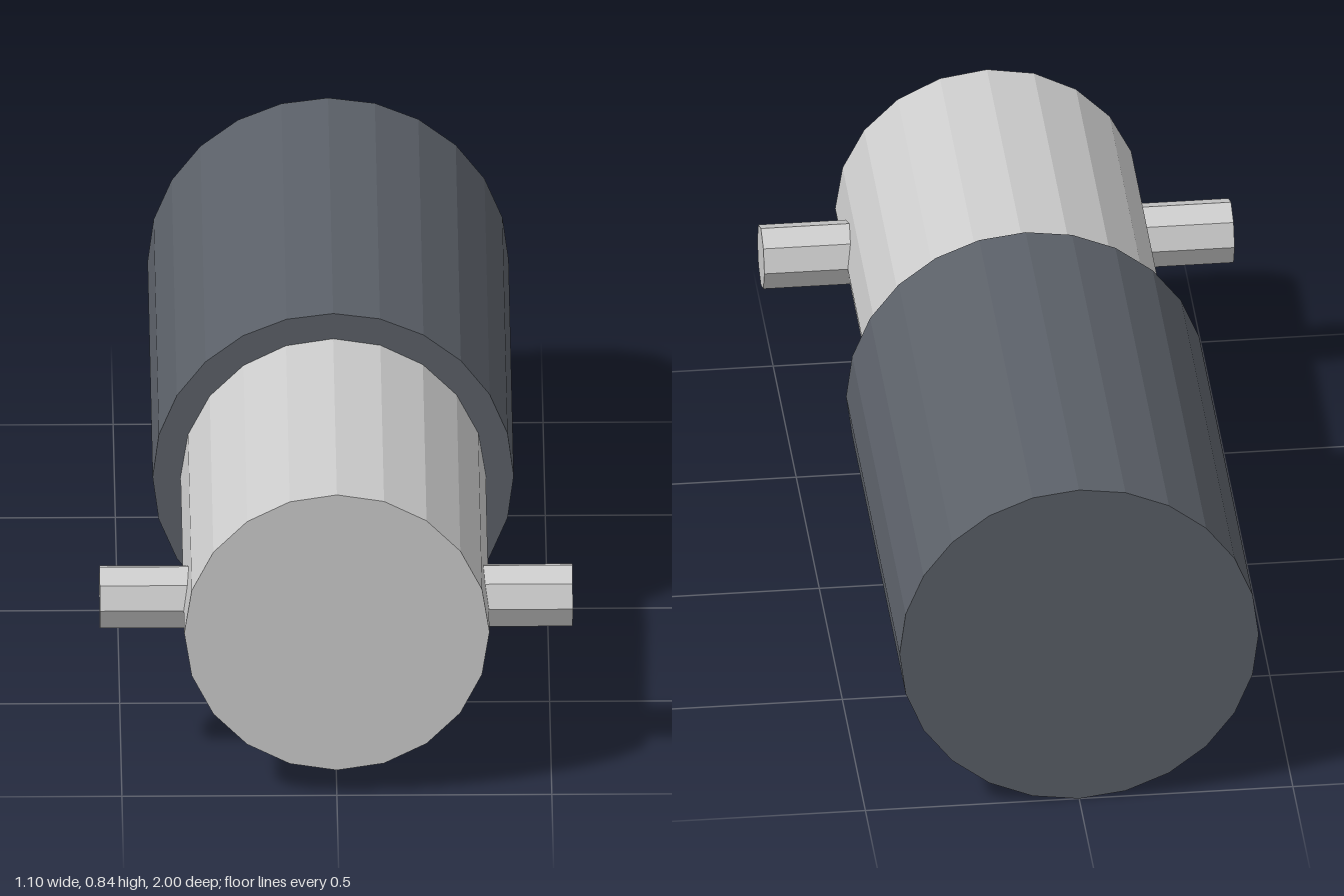
import * as THREE from 'three';

const AXIS_Y = 0.42;

export function createModel() {
  const group = new THREE.Group();
  const metal = new THREE.MeshStandardMaterial({ color: 0xcccccc, flatShading: true });
  const dark = new THREE.MeshStandardMaterial({ color: 0x5b6068, flatShading: true });

  // Faceted rod centred on the shared axis height
  const addRod = (name, radius, length, sides, material, z) => {
    const mesh = new THREE.Mesh(new THREE.CylinderGeometry(radius, radius, length, sides), material);
    mesh.name = name;
    mesh.position.set(0, AXIS_Y, z);
    group.add(mesh);
    return mesh;
  };

  // Thick rear sleeve and the narrower barrel seated against it, both along z
  addRod('sleeve', 0.42, 1.16, 24, dark, -0.42).rotation.x = Math.PI / 2;
  addRod('barrel', 0.355, 0.86, 20, metal, 0.57).rotation.x = Math.PI / 2;

  // Cross pin passing through the barrel from side to side
  addRod('crossPin', 0.077, 1.1, 8, metal, 0.803).rotation.z = Math.PI / 2;

  return group;
}
